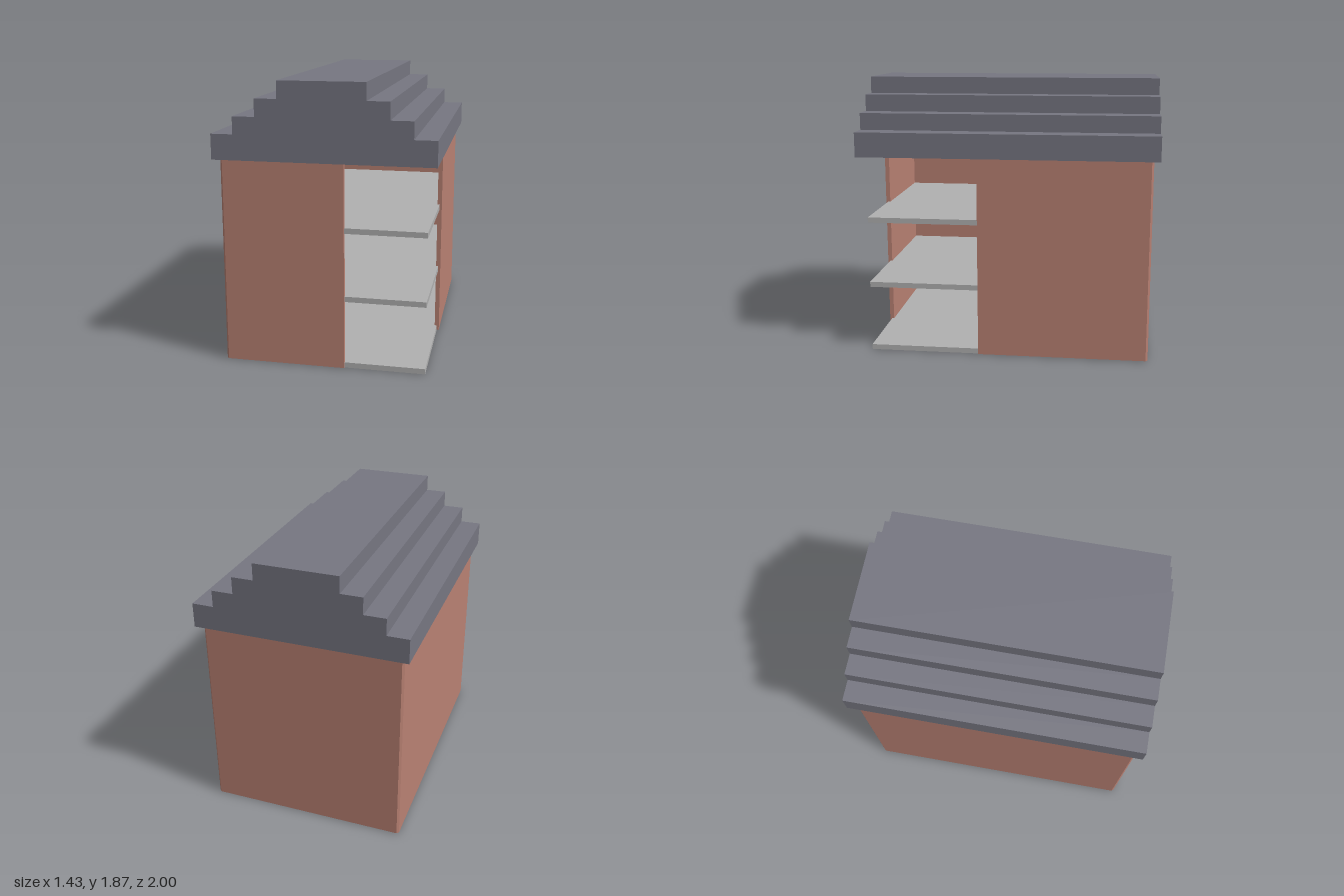
import * as THREE from 'three';

const wallMat = new THREE.MeshStandardMaterial({ color: 0xb98173 });
wallMat.name = 'brick red';
const roofMat = new THREE.MeshStandardMaterial({ color: 0x767681 });
roofMat.name = 'slate grey';
const floorMat = new THREE.MeshStandardMaterial({ color: 0xb0b0b0 });
floorMat.name = 'light grey';

const toShape = (pts) => new THREE.Shape(pts.map(([x, y]) => new THREE.Vector2(x, y)));

export function createModel() {
  const model = new THREE.Group();
  const add = (geometry, material, name) => {
    const mesh = new THREE.Mesh(geometry, material);
    mesh.name = name;
    model.add(mesh);
    return mesh;
  };

  // Wall ring with chamfered corners, open at the front left corner (plan in x, z)
  const X = 0.675, Z = 0.96, T = 0.03, C = 0.014;
  const openX = 0.13, openZ = 0.195, eaves = 1.365;
  const plan = [
    [openX, Z], [-X + C, Z], [-X, Z - C], [-X, -Z + C], [-X + C, -Z],
    [X - C, -Z], [X, -Z + C], [X, openZ], [X - T, openZ], [X - T, -Z + T],
    [-X + T, -Z + T], [-X + T, Z - T], [openX, Z - T],
  ];
  const walls = new THREE.ExtrudeGeometry(
    toShape(plan.map(([x, z]) => [x, -z])), { depth: eaves - 0.002, bevelEnabled: false });
  walls.rotateX(-Math.PI / 2).translate(0, 0.002, 0);
  add(walls, wallMat, 'walls');

  // Three storeys: floor slab and a panel on the inside of the back wall
  [0, 0.455, 0.91].forEach((y, i) => {
    add(new THREE.BoxGeometry(1.32, 0.036, 1.89), floorMat, `floor${i + 1}`)
      .position.set(0, y + 0.018, 0);
    add(new THREE.BoxGeometry(0.4, 0.11, 0.03), roofMat, `wallPanel${i + 1}`)
      .position.set(0, y + 0.275, -Z + T + 0.015);
  });

  // Stepped roof, one solid profile along z
  const steps = [[0.715, 1.53], [0.57, 1.643], [0.425, 1.757], [0.28, 1.87]];
  const right = [];
  let base = eaves;
  for (const [x, top] of steps) {
    right.push([x, base], [x, top]);
    base = top;
  }
  const left = right.map(([x, y]) => [-x, y]).reverse();
  const roof = new THREE.ExtrudeGeometry(toShape([...right, ...left]), { depth: 2, bevelEnabled: false });
  add(roof.translate(0, 0, -1), roofMat, 'steppedRoof');

  return model;
}
